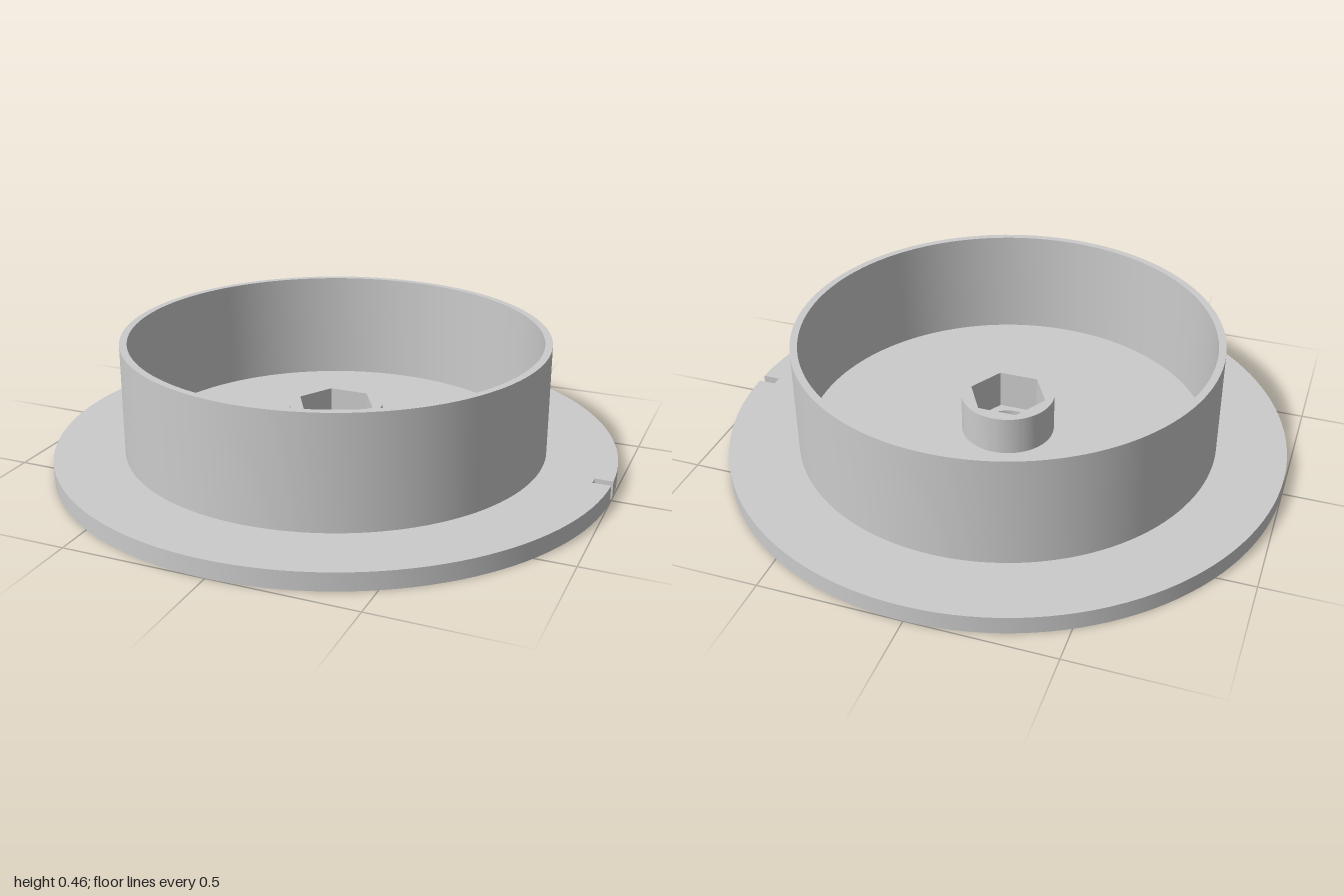
import * as THREE from 'three';
import { toCreasedNormals } from 'three/addons/utils/BufferGeometryUtils.js';

const PLATE_TOP = 0.0625;
const material = new THREE.MeshStandardMaterial({ color: 0xcccccc });

const circle = (r, Type = THREE.Path) => new Type().absarc(0, 0, r, 0, Math.PI * 2, false);

// Extrudes a plan outline upwards from y = bottom to y = top
function slab(name, shape, hole, bottom, top) {
  shape.holes.push(hole);
  const geometry = new THREE.ExtrudeGeometry(shape, {
    depth: top - bottom, bevelEnabled: false, curveSegments: 64,
  });
  geometry.rotateX(-Math.PI / 2).translate(0, bottom, 0);
  const mesh = new THREE.Mesh(toCreasedNormals(geometry, 0.5), material);
  mesh.name = name;
  return mesh;
}

export function createModel() {
  const group = new THREE.Group();
  group.name = 'flangedCup';

  // Base flange: disc with a small notch in its rim at +x
  const notchHalf = 0.018, notchDepth = 0.063;
  const a = Math.asin(notchHalf);
  const disc = new THREE.Shape();
  disc.absarc(0, 0, 1, a, Math.PI * 2 - a, false);
  disc.lineTo(1 - notchDepth, -notchHalf);
  disc.lineTo(1 - notchDepth, notchHalf);
  disc.closePath();
  group.add(slab('baseFlange', disc, circle(0.1), 0, PLATE_TOP));

  // Thin round wall
  group.add(slab('cupWall', circle(0.752, THREE.Shape), circle(0.726), PLATE_TOP, 0.46));

  // Central boss with a hexagonal pocket, corners along x
  const hexagon = new THREE.Path();
  hexagon.setFromPoints(Array.from({ length: 7 }, (_, i) =>
    new THREE.Vector2(Math.cos(i * Math.PI / 3), Math.sin(i * Math.PI / 3)).multiplyScalar(0.14)));
  group.add(slab('hexBoss', circle(0.167, THREE.Shape), hexagon, PLATE_TOP, 0.205));

  return group;
}
